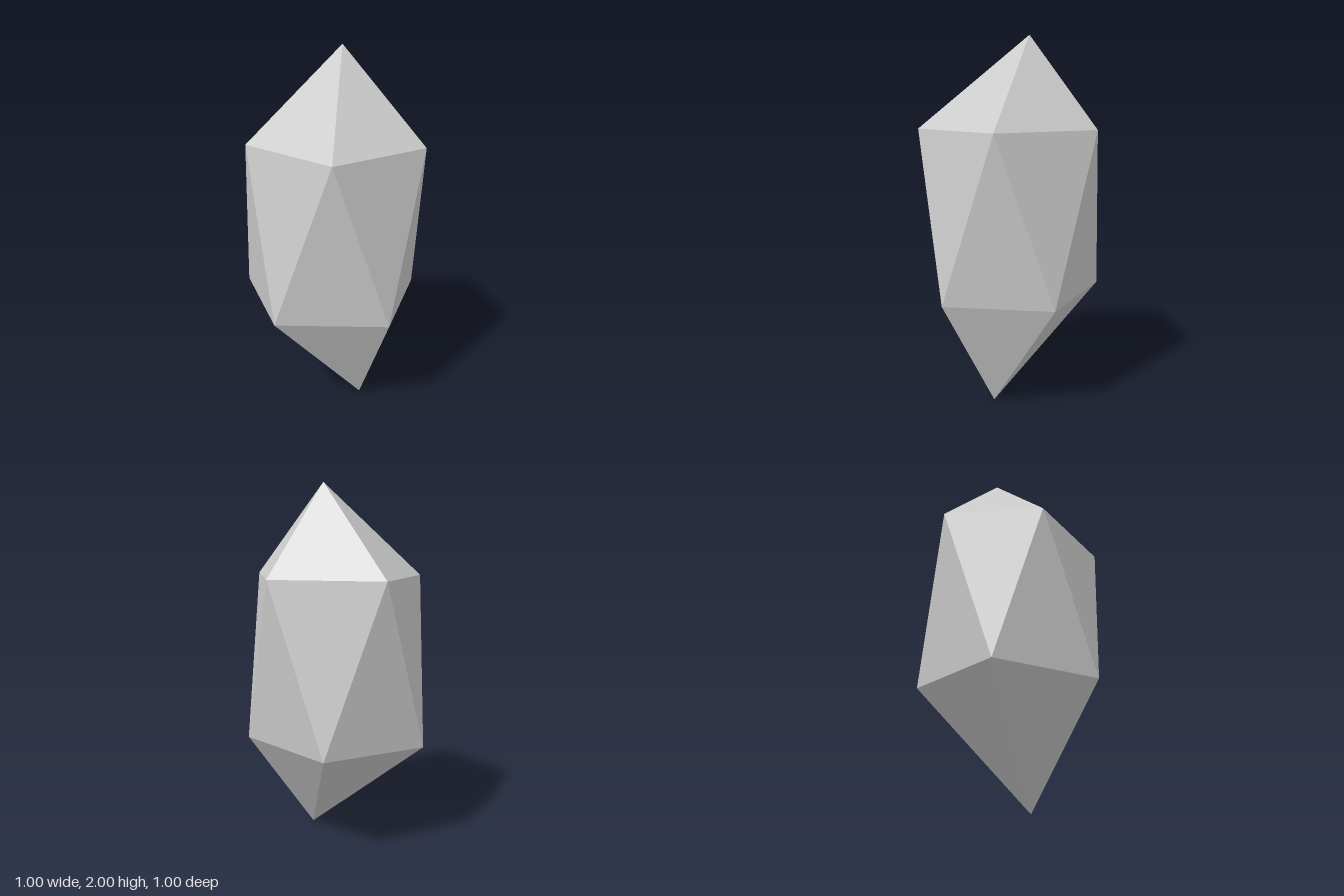
import * as THREE from 'three';

const SIDES = 5;

// Five-sided ring of points at height y, turned by `turn` radians
function ring(y, turn) {
  return Array.from({ length: SIDES }, (_, k) => {
    const a = turn + (k / SIDES) * Math.PI * 2;
    return new THREE.Vector3(Math.cos(a) * 0.5, y, Math.sin(a) * 0.525);
  });
}

export function createModel() {
  const group = new THREE.Group();
  group.name = 'crystal';

  // Off-centre tips and two rings staggered by half a step
  const topTip = new THREE.Vector3(0.107, 2, 0);
  const bottomTip = new THREE.Vector3(0, 0, 0.215);
  const upper = ring(1.51, 0);
  const lower = ring(0.605, Math.PI / SIDES);
  upper[3].set(-0.346, 1.51, -0.296); // one chipped-in corner

  // Facets: cap, zigzag band and base point
  const points = [];
  for (let k = 0; k < SIDES; k++) {
    const n = (k + 1) % SIDES;
    points.push(
      topTip, upper[n], upper[k],
      upper[k], upper[n], lower[k],
      lower[k], upper[n], lower[n],
      lower[k], lower[n], bottomTip
    );
  }
  const geometry = new THREE.BufferGeometry().setFromPoints(points);
  geometry.computeVertexNormals();

  const gem = new THREE.Mesh(
    geometry,
    new THREE.MeshStandardMaterial({ color: 0xcccccc, flatShading: true })
  );
  gem.name = 'crystalBody';
  group.add(gem);
  return group;
}
